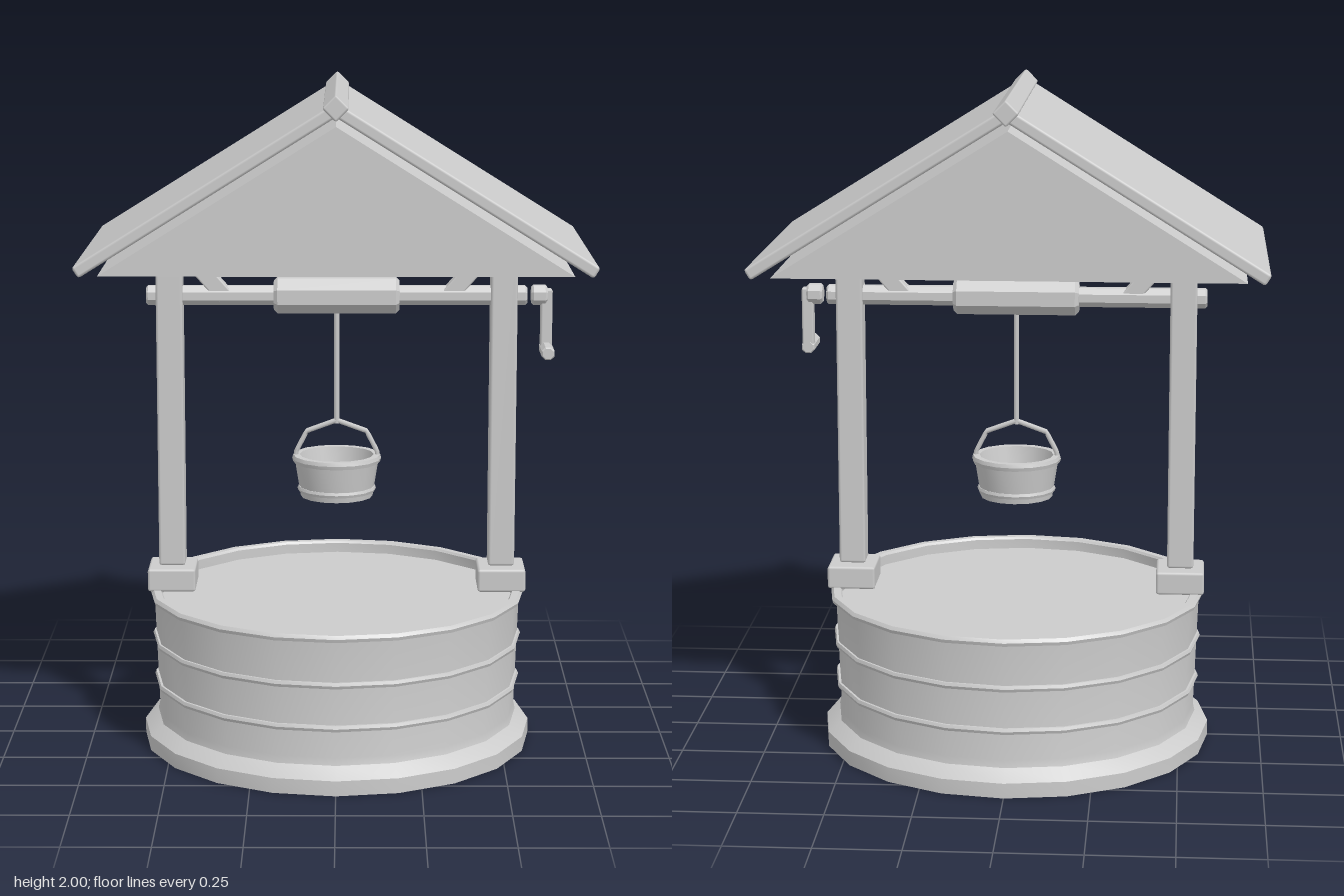
import * as THREE from 'three';
import { toCreasedNormals } from 'three/addons/utils/BufferGeometryUtils.js';
import { RoundedBoxGeometry } from 'three/addons/geometries/RoundedBoxGeometry.js';

export function createModel() {
  const root = new THREE.Group();
  root.name = 'well';
  const grey = new THREE.MeshStandardMaterial({ color: 0xcccccc });
  grey.name = 'plain grey';

  const add = (name, geometry, x = 0, y = 0, z = 0, parent = root) => {
    const mesh = new THREE.Mesh(geometry, grey);
    mesh.name = name;
    mesh.position.set(x, y, z);
    parent.add(mesh);
    return mesh;
  };
  // box with a narrow chamfer
  const box = (w, h, d, bevel = 0.008) => new RoundedBoxGeometry(w, h, d, 1, bevel);
  // turned body with smooth sides and sharp rims
  const turned = (profile, sides) => toCreasedNormals(
    new THREE.LatheGeometry(profile.map(([r, y]) => new THREE.Vector2(r, y)), sides), 0.5);
  // closed ring of rounded-off section
  const ring = (r, h, bulge, sides) => turned(
    [[r - 0.015, -h / 2], [r + bulge * 0.6, -h / 2], [r + bulge, 0], [r + bulge * 0.6, h / 2], [r - 0.015, h / 2]], sides);
  // chamfered rod lying along x
  const rod = (length, r, sides) => {
    const c = r * 0.2, l = length / 2;
    const g = turned([[0, -l], [r - c, -l], [r, c - l], [r, l - c], [r - c, l], [0, l]], sides);
    return g.rotateY(Math.PI / sides).rotateZ(-Math.PI / 2);
  };

  // round well wall with a plinth, a rim and a shallow recessed top
  add('wellWall', turned([
    [0, 0], [0.59, 0], [0.59, 0.045], [0.55, 0.078], [0.545, 0.1], [0.558, 0.45],
    [0.57, 0.452], [0.573, 0.462], [0.566, 0.472], [0.545, 0.472], [0.54, 0.465], [0.54, 0.435], [0, 0.435],
  ], 20));
  for (const [y, r] of [[0.19, 0.55], [0.32, 0.554]]) add('wallBand', ring(r, 0.018, 0.009, 20), 0, y);

  // posts, feet and braces on both sides
  for (const s of [-1, 1]) {
    add('postFoot', box(0.145, 0.07, 0.16), s * 0.5, 0.503);
    add('post', box(0.08, 0.98, 0.08), s * 0.5, 1.03);
    add('brace', box(0.05, 0.22, 0.05, 0.005), s * 0.405, 1.445).rotation.z = -s * 0.72;
  }

  // roof: solid gable block, two slabs and a ridge beam
  const gable = new THREE.Shape([
    new THREE.Vector2(-0.68, 1.48), new THREE.Vector2(0.68, 1.48), new THREE.Vector2(0, 1.905)]);
  add('gableBlock', new THREE.ExtrudeGeometry(gable, { depth: 0.78, bevelEnabled: false }), 0, 0, -0.39);
  for (const s of [-1, 1])
    add('roofSlab', box(0.87, 0.036, 0.9), s * 0.368, 1.728).rotation.z = -s * 0.557;
  add('ridgeBeam', box(0.054, 0.054, 0.945, 0.006), 0, 1.963).rotation.z = Math.PI / 4;

  // axle with its winding drum
  add('axle', rod(1.14, 0.031, 8), 0, 1.367);
  add('windingDrum', rod(0.376, 0.057, 8), 0, 1.367);

  // crank on the left end
  const crank = new THREE.Group();
  crank.name = 'crank';
  root.add(crank);
  add('crankCollar', rod(0.048, 0.032, 8), 0.606, 1.368, 0, crank);
  add('crankArm', box(0.035, 0.19, 0.038, 0.006), 0.628, 1.292, 0, crank);
  add('crankHandle', rod(0.125, 0.021, 8), 0.628, 1.207, 0.043, crank).rotation.y = Math.PI / 2;

  // rope and bucket
  add('rope', new THREE.CylinderGeometry(0.008, 0.008, 0.36, 8), 0, 1.155);
  const bucket = new THREE.Group();
  bucket.name = 'bucket';
  root.add(bucket);
  add('bucketBody', turned([
    [0, 0.752], [0.109, 0.752], [0.129, 0.878], [0.117, 0.878], [0.1, 0.77], [0, 0.77]], 16), 0, 0, 0, bucket);
  add('bucketRim', ring(0.127, 0.022, 0.008, 16), 0, 0.869, 0, bucket);
  add('bucketBand', ring(0.112, 0.016, 0.007, 16), 0, 0.776, 0, bucket);
  const bail = new THREE.CurvePath();
  const bends = [[-0.125, 0.865], [-0.122, 0.89], [-0.09, 0.952], [0, 0.985], [0.09, 0.952], [0.122, 0.89], [0.125, 0.865]]
    .map(([x, y]) => new THREE.Vector3(x, y, 0));
  for (let i = 1; i < bends.length; i++) bail.add(new THREE.LineCurve3(bends[i - 1], bends[i]));
  add('bucketHandle', new THREE.TubeGeometry(bail, 32, 0.008, 6), 0, 0, 0, bucket);

  return root;
}
